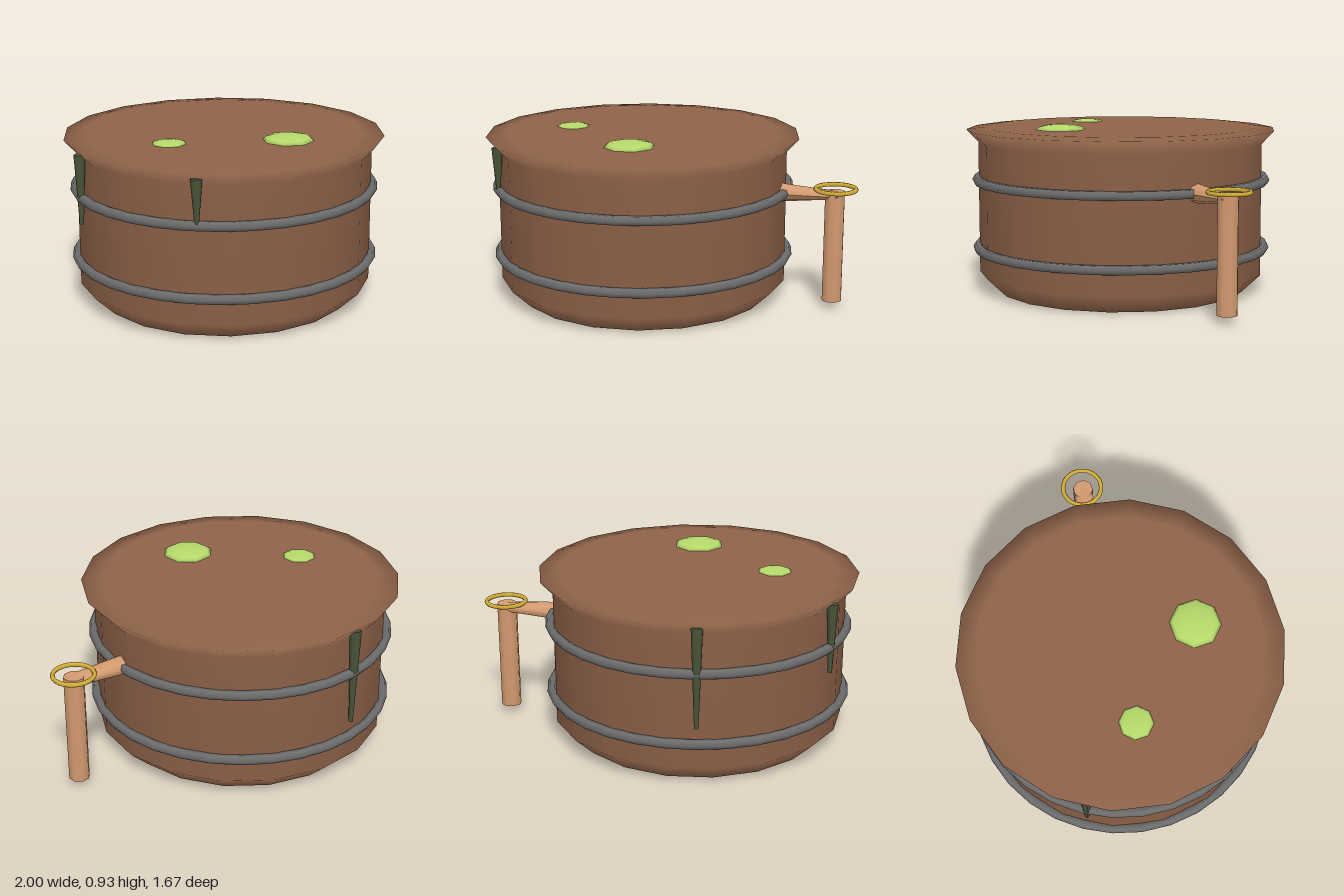
import * as THREE from 'three';

const material = (name, color) => {
  const m = new THREE.MeshStandardMaterial({ color });
  m.name = name;
  return m;
};

export function createModel() {
  const wood = material('brown wood', 0x8f6349);
  const iron = material('grey iron', 0x6c6c6c);
  const paleWood = material('pale wood', 0xd39a6f);
  const gold = material('gold', 0xd4af37);
  const slime = material('light green', 0xb5d96a);
  const moss = material('dark green', 0x4a5539);

  const model = new THREE.Group();
  model.name = 'tub';
  const add = (parent, name, geometry, mat, x = 0, y = 0, z = 0) => {
    const mesh = new THREE.Mesh(geometry, mat);
    mesh.name = name;
    mesh.position.set(x, y, z);
    parent.add(mesh);
    return mesh;
  };

  // Barrel, off centre to balance the handle
  const barrel = new THREE.Group();
  barrel.name = 'barrel';
  barrel.position.x = -0.15;
  model.add(barrel);

  // Wall, flared rim and lid in one smooth 18-sided lathe
  const profile = [[0.68, 0], [0.785, 0.1], [0.785, 0.82], [0.85, 0.89], [0.74, 0.902], [0, 0.902]]
    .map(([r, y]) => new THREE.Vector2(r, y));
  add(barrel, 'barrelBody', new THREE.LatheGeometry(profile, 18, Math.PI / 2), wood);
  add(barrel, 'barrelBase', new THREE.CircleGeometry(0.68, 18).rotateX(Math.PI / 2), wood);

  // Iron hoops
  for (const y of [0.24, 0.615]) {
    add(barrel, 'hoop', new THREE.TorusGeometry(0.795, 0.026, 6, 32).rotateX(Math.PI / 2), iron, 0, y);
  }

  // Bubbles showing above the lid
  for (const [x, z, r, h] of [[0.155, 0.375, 0.135, 0.03], [-0.395, 0.1, 0.09, 0.014]]) {
    add(barrel, 'bubble', new THREE.SphereGeometry(r, 8, 6).scale(1, h / r, 1), slime, x, 0.902, z);
  }

  // Drips tapering down the wall: direction x, z, then top and bottom heights
  for (const [dx, dz, top, bottom] of [[-0.535, 0.59, 0.855, 0.62], [-0.786, -0.131, 0.85, 0.48], [-0.306, -0.735, 0.86, 0.33]]) {
    const s = 0.8 / Math.hypot(dx, dz);
    add(barrel, 'drip', new THREE.CylinderGeometry(0.03, 0.011, top - bottom, 6), moss,
      dx * s, (top + bottom) / 2, dz * s);
  }

  // Handle: an arm flattening towards the elbow, then a hanging grip
  const handle = new THREE.Group();
  handle.name = 'handle';
  model.add(handle);
  const start = new THREE.Vector3(0.58, 0.612, -0.2);
  const end = new THREE.Vector3(0.9, 0.62, -0.278);
  const arm = new THREE.CylinderGeometry(0.052, 0.052, start.distanceTo(end), 8, 1);
  arm.rotateZ(-Math.PI / 2);
  const p = arm.attributes.position;
  for (let i = 0; i < p.count; i++) if (p.getX(i) > 0) p.setY(i, p.getY(i) * 0.4);
  arm.computeVertexNormals();
  const armMesh = add(handle, 'handleArm', arm, paleWood);
  armMesh.position.copy(start).lerp(end, 0.5);
  armMesh.quaternion.setFromUnitVectors(new THREE.Vector3(1, 0, 0), end.clone().sub(start).normalize());
  add(handle, 'handleGrip', new THREE.CylinderGeometry(0.055, 0.055, 0.6, 8), paleWood, 0.875, 0.34, -0.27);

  // Gold ring lying on the elbow
  add(handle, 'goldRing', new THREE.TorusGeometry(0.106, 0.012, 6, 24).rotateX(Math.PI / 2), gold, 0.877, 0.652, -0.275);

  return model;
}
